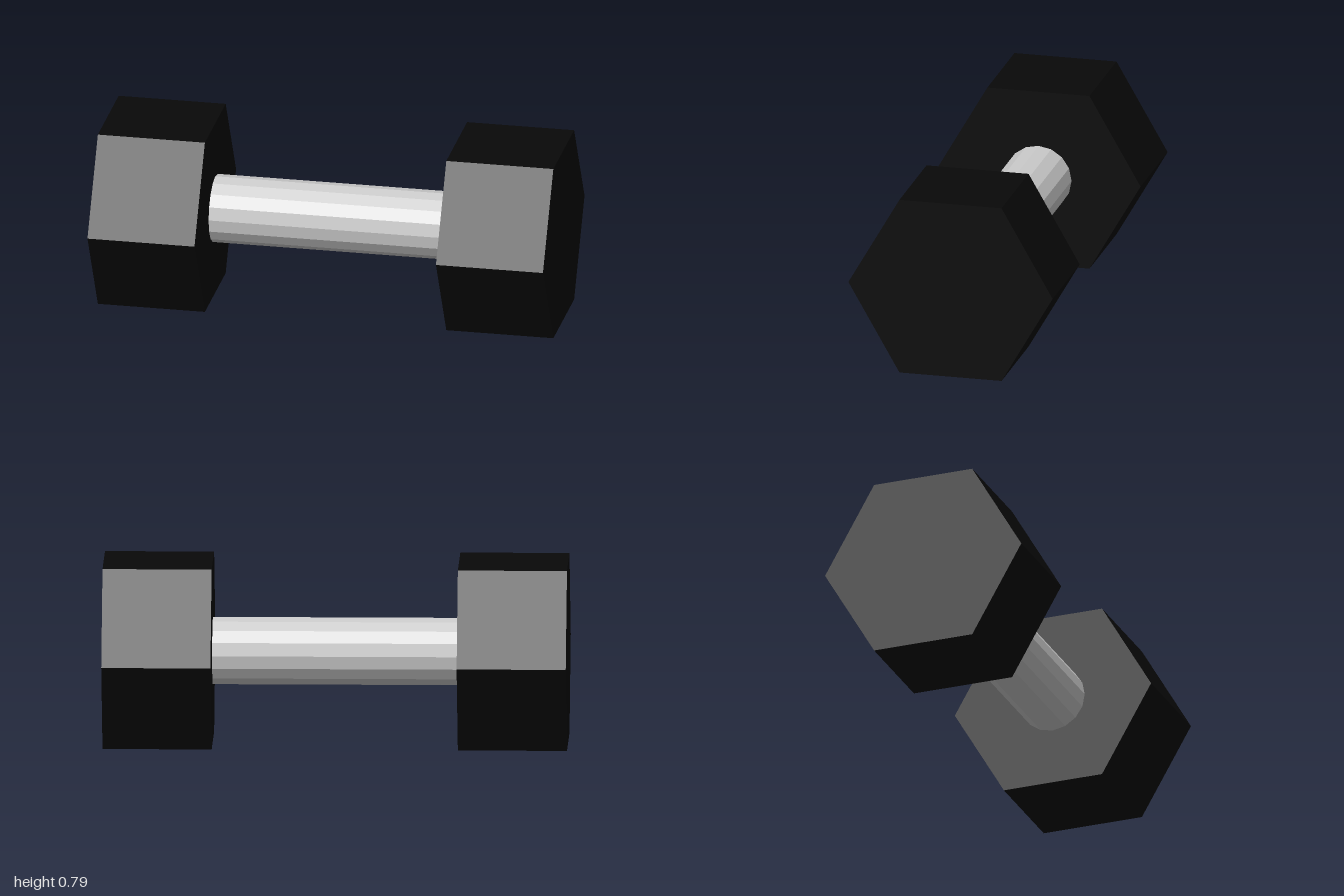
import * as THREE from 'three';

const CENTER_Y = 0.393;

// Prism lying along the x axis, with a corner pointing to +z
function prism(name, radius, length, sides, x, material) {
  const geometry = new THREE.CylinderGeometry(radius, radius, length, sides);
  geometry.rotateZ(Math.PI / 2);
  const mesh = new THREE.Mesh(geometry, material);
  mesh.name = name;
  mesh.position.set(x, CENTER_Y, 0);
  return mesh;
}

export function createModel() {
  const group = new THREE.Group();
  group.name = 'dumbbell';

  const metal = new THREE.MeshStandardMaterial({ color: 0xcccccc, flatShading: true });
  const rubber = new THREE.MeshStandardMaterial({ color: 0x080808, flatShading: true });

  // Faceted grip between the weights
  group.add(prism('handle', 0.147, 1.06, 16, 0, metal));

  // Hexagonal weights, resting on a flat side
  const radius = CENTER_Y / Math.cos(Math.PI / 6);
  for (const [name, side] of [['leftWeight', 1], ['rightWeight', -1]]) {
    group.add(prism(name, radius, 0.47, 6, side * 0.765, rubber));
  }

  return group;
}
